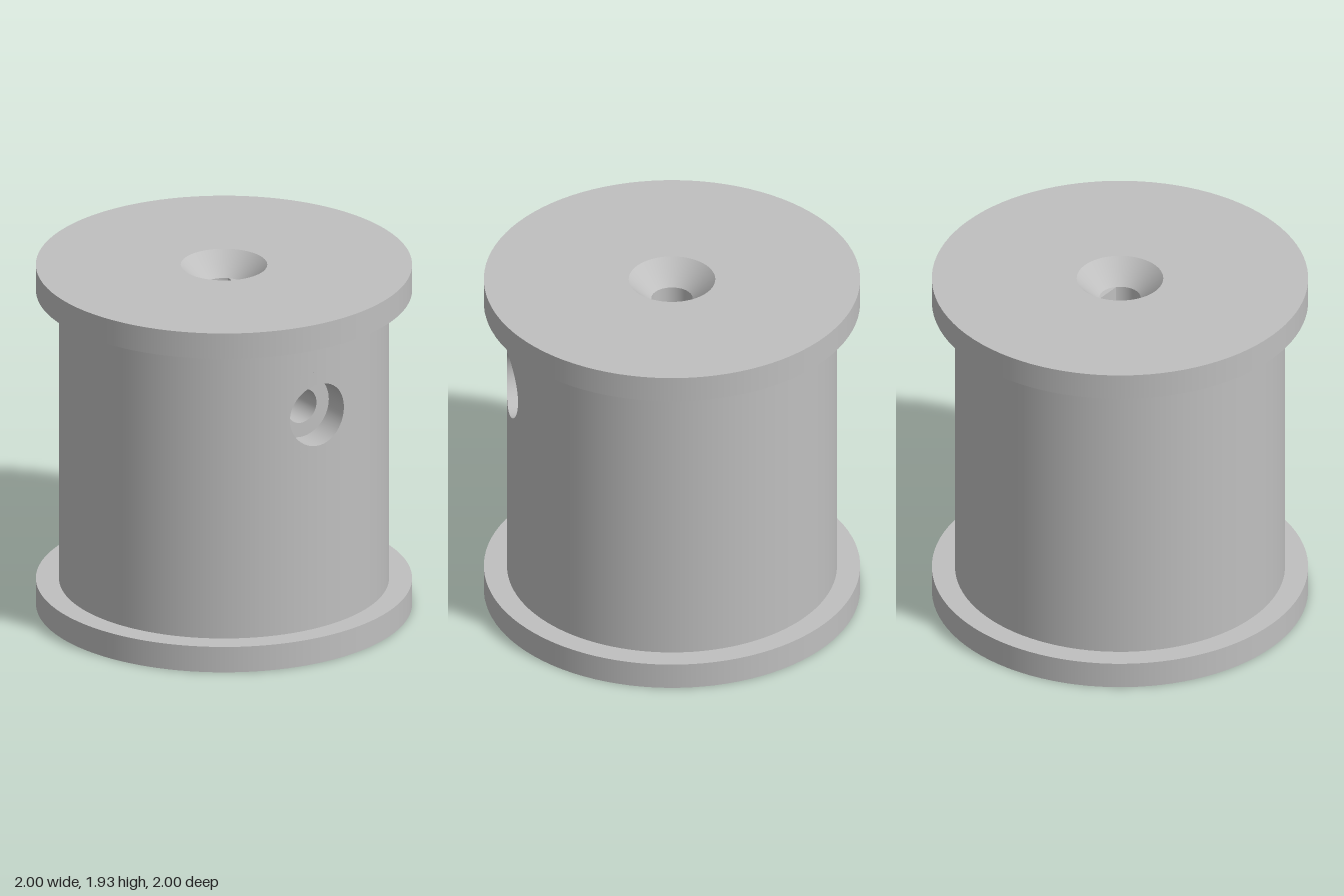
import * as THREE from 'three';
import { mergeGeometries } from 'three/addons/utils/BufferGeometryUtils.js';

const BODY = 0.877, RIM = 1, H = 1.935, FLANGE = 0.145;
const BORE = 0.11, FLAT = -0.08, THROUGH = 0.08, SINK_Y = 1.815;
const HOLE_Y = 1.36, HOLE = 0.175, SCREW = 0.095, STEP_X = 0.72;

// Sharp-edged turned surface: one lathe band per profile segment
function turned(profile) {
  const bands = [];
  for (let i = 0; i < profile.length - 1; i++) {
    const pts = [profile[i], profile[i + 1]].map(p => new THREE.Vector2(...p));
    bands.push(new THREE.LatheGeometry(pts, 96));
  }
  return mergeGeometries(bands);
}

// Plane whose u, v are turned into a position and a normal by a rule
function surface(nu, nv, rule) {
  const g = new THREE.PlaneGeometry(1, 1, nu, nv);
  const { position, normal, uv } = g.attributes;
  for (let i = 0; i < position.count; i++) {
    const [p, n] = rule(uv.getX(i) * Math.PI * 2, uv.getY(i));
    position.setXYZ(i, ...p);
    normal.setXYZ(i, ...n);
  }
  return g;
}

// Part of an upright cylinder wall
function wall(r, y0, y1, start, length) {
  const segs = Math.max(8, Math.ceil(length * 16));
  return new THREE.CylinderGeometry(r, r, y1 - y0, segs, 1, true, start, length)
    .translate(0, (y0 + y1) / 2, 0);
}

// Upright cylinder wall pierced by a round hole on the +x side
function piercedWall(r, y0, y1, hole, half, zMin, zMax, mainLength) {
  const a = Math.acos(zMax / r), b = Math.acos(zMin / r);
  const patch = surface(64, 6, (t, v) => {
    const c = Math.cos(t), s = Math.sin(t);
    const edge = half / Math.max(Math.abs(c), Math.abs(s));
    const clampZ = z => THREE.MathUtils.clamp(z, zMin, zMax);
    const z = THREE.MathUtils.lerp(clampZ(hole * c), clampZ(edge * c), v);
    const y = THREE.MathUtils.lerp(hole * s, edge * s, v);
    const x = Math.sqrt(r * r - z * z);
    return [[x, HOLE_Y + y, z], [x / r, 0, z / r]];
  });
  return mergeGeometries([
    patch,
    wall(r, y0, y1, a - mainLength, mainLength),
    wall(r, y0, HOLE_Y - half, a, b - a),
    wall(r, HOLE_Y + half, y1, a, b - a),
  ]);
}

// Wall of a sideways hole, running from an inner x to an outer x
function sideBore(r, inner, outer) {
  return surface(64, 1, (t, v) => {
    const z = r * Math.cos(t), y = r * Math.sin(t);
    return [[v < 0.5 ? inner(z) : outer(z), HOLE_Y + y, z], [0, -Math.sin(t), -Math.cos(t)]];
  });
}

// Flat slice of a circle between an arc and its chord
function segment(r, from, to) {
  const s = new THREE.Shape();
  s.absarc(0, 0, r, from, to, false);
  return new THREE.ShapeGeometry(s, 16);
}

export function createModel() {
  const group = new THREE.Group();
  const grey = new THREE.MeshStandardMaterial({ color: 0xbfbfbf, side: THREE.DoubleSide });
  grey.name = 'grey';
  const add = (name, geometry) => {
    const mesh = new THREE.Mesh(geometry, grey);
    mesh.name = name;
    group.add(mesh);
  };

  // Flanges, with the countersink above and the through hole below
  add('topFlange', turned([
    [BODY, H - FLANGE], [RIM, H - FLANGE], [RIM, H], [0.23, H], [BORE, SINK_Y]]));
  add('bottomFlange', turned([
    [BORE, FLANGE], [THROUGH, FLANGE], [THROUGH, 0], [RIM, 0], [RIM, FLANGE], [BODY, FLANGE]]));

  // Drum with the side hole
  const wedge = 2 * Math.asin(0.25 / BODY);
  add('drum', piercedWall(BODY, FLANGE, H - FLANGE, HOLE, 0.25, -0.25, 0.25, Math.PI * 2 - wedge));

  // D-shaped centre bore
  const zMax = 0.104;
  const sweep = Math.acos(zMax / BORE) + Math.acos(FLAT / BORE);
  add('centreBore', piercedWall(BORE, FLANGE, SINK_Y, SCREW, BORE, FLAT, zMax, sweep));
  const halfFlat = Math.sqrt(BORE * BORE - FLAT * FLAT);
  add('boreFlat', new THREE.PlaneGeometry(halfFlat * 2, SINK_Y - FLANGE)
    .translate(0, (SINK_Y + FLANGE) / 2, FLAT));
  const t = Math.asin(-FLAT / BORE);
  add('boreShelf', segment(BORE, t, Math.PI - t).rotateX(-Math.PI / 2).translate(0, SINK_Y, 0));

  // Stepped side hole
  add('sideHole', sideBore(HOLE, () => STEP_X, z => Math.sqrt(BODY * BODY - z * z)));
  add('sideHoleStep', new THREE.RingGeometry(SCREW, HOLE, 64)
    .rotateY(Math.PI / 2).translate(STEP_X, HOLE_Y, 0));
  add('screwHole', sideBore(SCREW,
    z => Math.sqrt(BORE * BORE - Math.max(z, FLAT) ** 2), () => STEP_X));
  const e = Math.acos(-FLAT / SCREW);
  add('screwHoleEnd', segment(SCREW, -e, e).rotateY(Math.PI / 2).translate(halfFlat, HOLE_Y, 0));

  return group;
}
